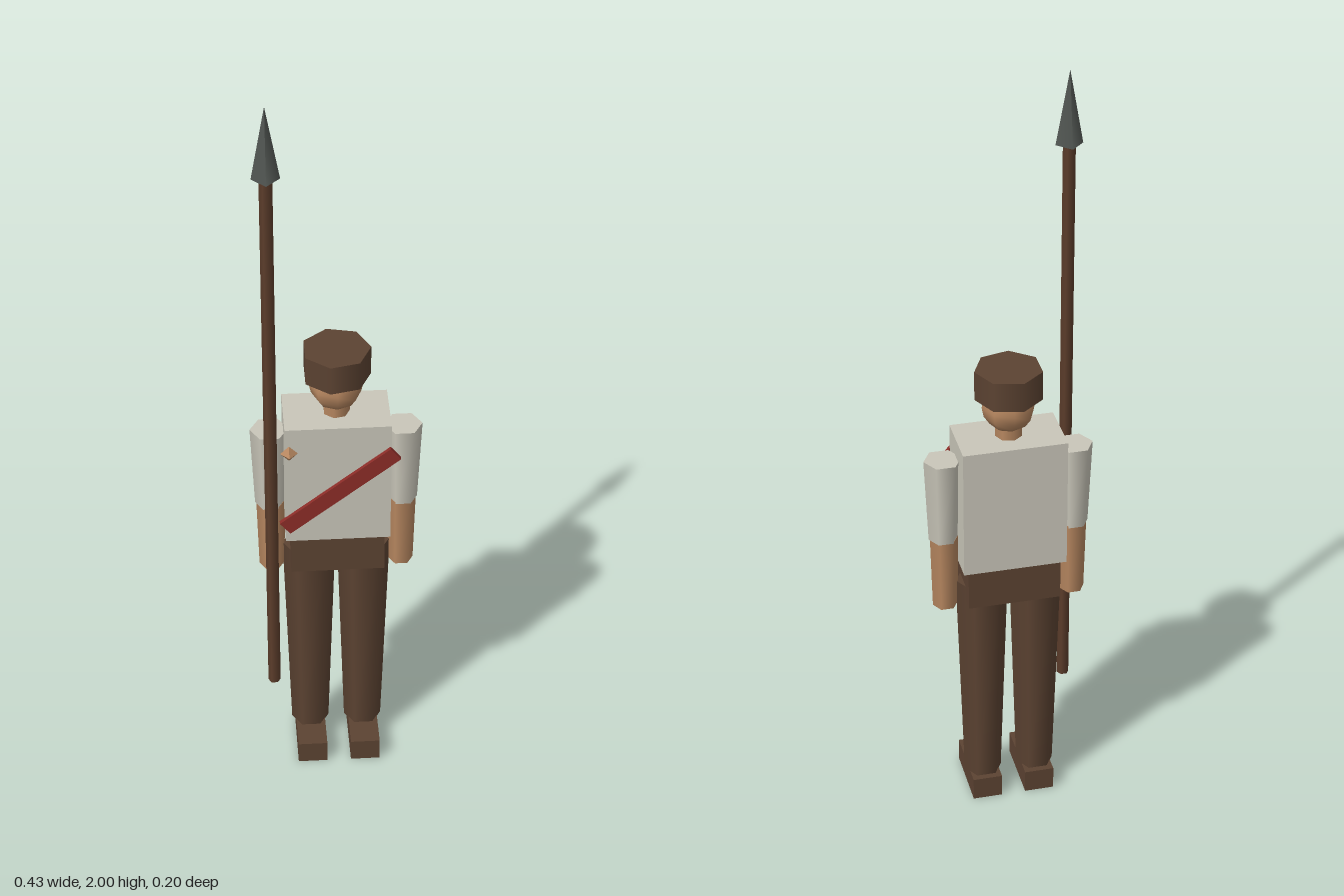
import * as THREE from 'three';

export function createModel() {
  const model = new THREE.Group();
  model.name = 'spearGuard';

  const paint = (name, color) => {
    const m = new THREE.MeshStandardMaterial({ color });
    m.name = name;
    return m;
  };
  const cloth = paint('brown cloth', 0x5c4332);
  const wood = paint('spear wood', 0x5c3d2b);
  const shirt = paint('pale shirt', 0xcac7ba);
  const skin = paint('skin', 0xb78760);
  const red = paint('red sash', 0x8c2d28);
  const steel = paint('dark steel', 0x555a56);

  const Z = -0.018; // depth of the body axis

  const add = (name, geometry, material, x, y, z) => {
    const mesh = new THREE.Mesh(geometry, material);
    mesh.name = name;
    mesh.position.set(x, y, z);
    model.add(mesh);
    return mesh;
  };
  const box = (name, mat, w, h, d, x, y, z) =>
    add(name, new THREE.BoxGeometry(w, h, d), mat, x, y, z);
  // Tapered prism between two heights, with a corner pointing to +x
  const prism = (name, mat, rTop, rBottom, y0, y1, sides, x, z) => {
    const g = new THREE.CylinderGeometry(rTop, rBottom, y1 - y0, sides);
    g.rotateY(Math.PI / 2);
    return add(name, g, mat, x, (y0 + y1) / 2, z);
  };

  // Trunk
  box('torso', shirt, 0.265, 0.35, 0.153, 0, 0.905, Z);
  box('hips', cloth, 0.238, 0.11, 0.134, 0, 0.675, Z);
  prism('neck', skin, 0.034, 0.034, 1.06, 1.13, 7, 0, Z);

  // Head and cap
  add('head', new THREE.SphereGeometry(0.068, 8, 8), skin, 0, 1.165, Z);
  prism('cap', cloth, 0.086, 0.086, 1.19, 1.268, 7, 0, Z);

  // Limbs
  for (const [side, s] of [['left', 1], ['right', -1]]) {
    prism(side + 'Sleeve', shirt, 0.048, 0.038, 0.8, 1.03, 6, s * 0.168, Z);
    prism(side + 'Forearm', skin, 0.037, 0.032, 0.6, 0.805, 6, s * 0.166, Z);
    prism(side + 'Leg', cloth, 0.068, 0.049, 0.058, 0.665, 6, s * 0.07, Z);
    box(side + 'Shoe', cloth, 0.077, 0.062, 0.178, s * 0.07, 0.031, 0.012);
  }

  // Diagonal sash across the chest
  const sash = box('sash', red, 0.355, 0.042, 0.012, 0.004, 0.89, 0.063);
  sash.rotation.z = Math.atan2(0.223, 0.278);

  // Small shoulder stud
  add('stud', new THREE.OctahedronGeometry(0.022), skin, -0.122, 1.01, 0.06);

  // Spear
  prism('spearShaft', wood, 0.016, 0.016, 0.27, 1.815, 6, -0.168, 0.066);
  add('spearHead', new THREE.ConeGeometry(0.034, 0.19, 4), steel, -0.168, 1.905, 0.066);

  return model;
}
